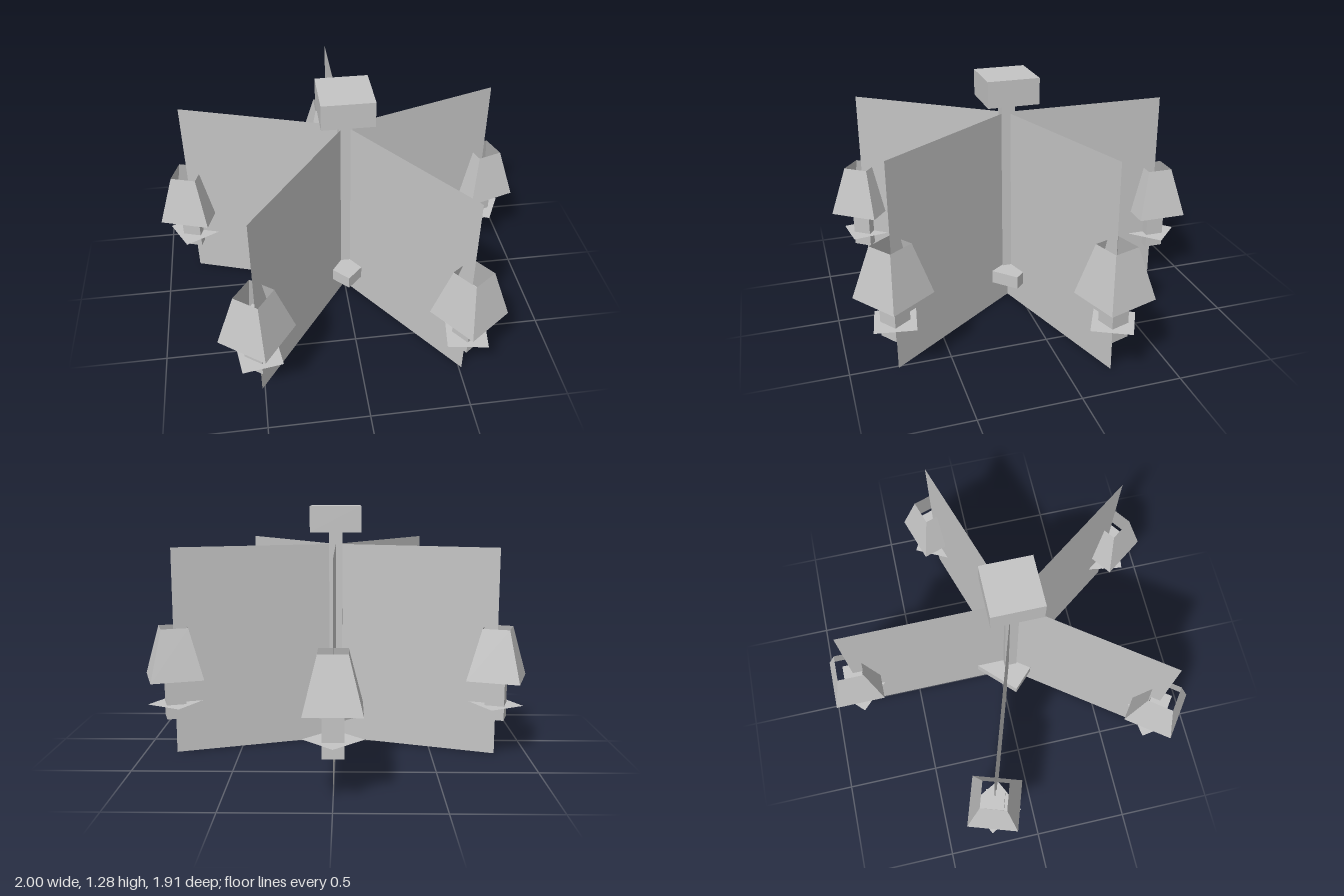
import * as THREE from 'three';

const ARMS = 5;
const ARM_LENGTH = 0.875;
const CENTRE_Z = 0.057;

export function createModel() {
  const model = new THREE.Group();
  model.name = 'chandelier';

  const grey = new THREE.MeshStandardMaterial({ color: 0xc4c4c4, side: THREE.DoubleSide, flatShading: true });
  grey.name = 'plain grey';

  const add = (parent, name, geometry, x, y, z) => {
    const mesh = new THREE.Mesh(geometry, grey);
    mesh.name = name;
    mesh.position.set(x, y, z);
    parent.add(mesh);
    return mesh;
  };
  // box spanning y0 to y1 with a square footprint
  const block = (parent, name, side, y0, y1, z = 0) =>
    add(parent, name, new THREE.BoxGeometry(side, y1 - y0, side), 0, (y0 + y1) / 2, z);

  const body = new THREE.Group();
  body.name = 'body';
  body.position.z = CENTRE_Z;
  model.add(body);

  // central column with its ceiling mount and turned lower hub
  block(body, 'ceilingMount', 0.267, 1.145, 1.28);
  block(body, 'pole', 0.07, 0.205, 1.145);
  block(body, 'lowerHub', 0.267, 0.135, 0.205).rotation.y = Math.PI / 4;

  // shared arm geometries
  const panelGeo = new THREE.PlaneGeometry(ARM_LENGTH, 1.077).rotateY(Math.PI / 2);
  const shadeGeo = new THREE.CylinderGeometry(0.137 / Math.SQRT2, 0.268 / Math.SQRT2, 0.263, 4, 1, true)
    .rotateY(Math.PI / 4);
  const dishGeo = new THREE.PlaneGeometry(0.2, 0.2).rotateX(-Math.PI / 2).rotateY(Math.PI / 4);

  for (let i = 0; i < ARMS; i++) {
    const arm = new THREE.Group();
    arm.name = 'arm' + (i + 1);
    arm.rotation.y = (i * Math.PI * 2) / ARMS;
    body.add(arm);

    // flat upright panel carrying the lamp at its outer edge
    add(arm, 'armPanel', panelGeo, 0, 1.077 / 2, -ARM_LENGTH / 2);
    block(arm, 'candle', 0.1, 0.195, 0.54, -ARM_LENGTH);
    add(arm, 'dripDish', dishGeo, 0, 0.27, -ARM_LENGTH);
    add(arm, 'lampShade', shadeGeo, 0, 0.54, -ARM_LENGTH);
  }

  return model;
}
